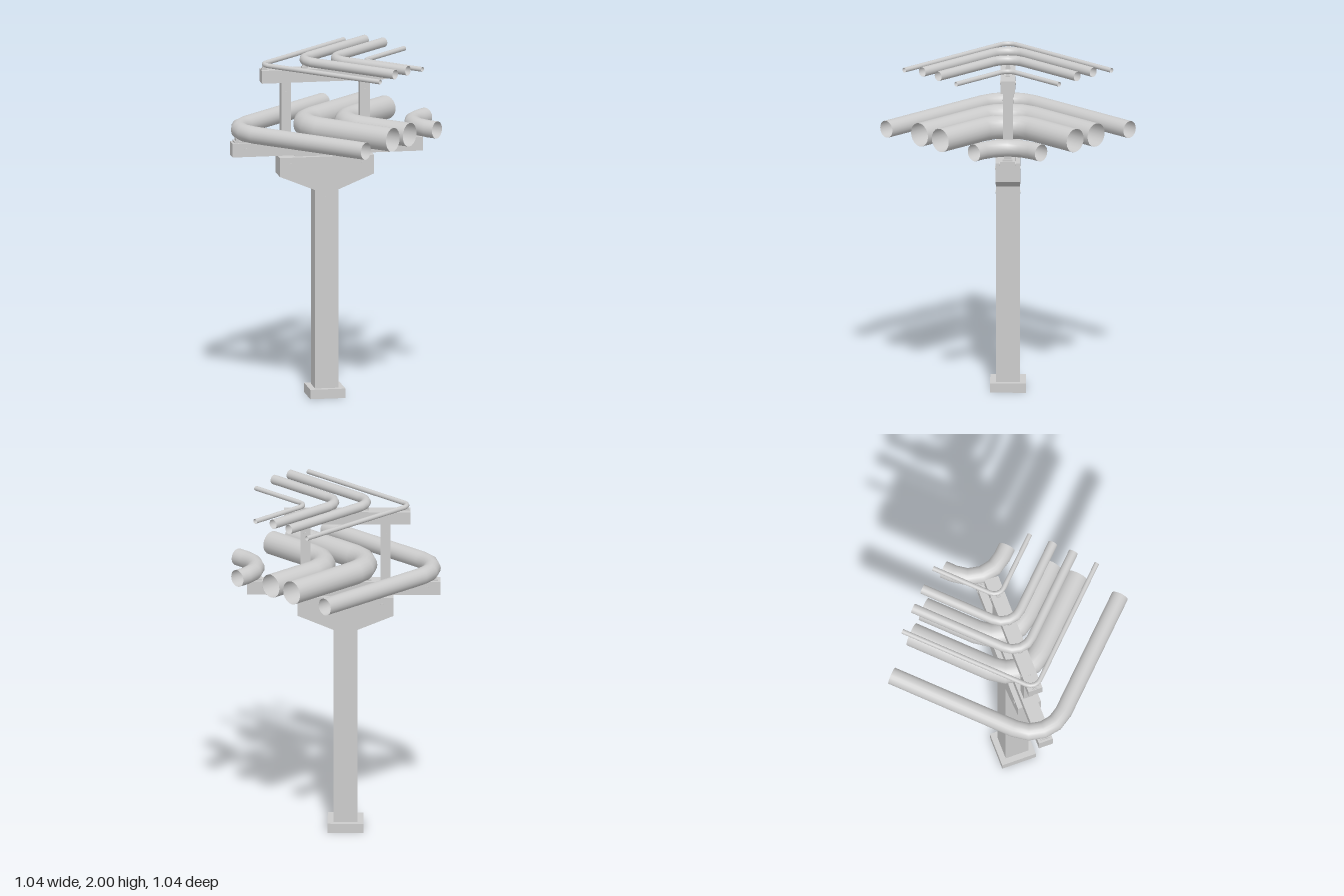
import * as THREE from 'three';

const grey = new THREE.MeshStandardMaterial({ color: 0xcccccc });
const open = new THREE.MeshStandardMaterial({ color: 0xcccccc, side: THREE.DoubleSide });

// Straight run, quarter bend in a few steps, straight run
class BendPath extends THREE.Curve {
  constructor(c, y, r, end, steps = 4) {
    super();
    this.stops = [{ p: new THREE.Vector3(-c, y, -end), t: new THREE.Vector3(0, 0, 1) }];
    for (let i = 0; i <= steps; i++) {
      const a = (i / steps) * Math.PI / 2;
      this.stops.push({
        p: new THREE.Vector3(-c + r - r * Math.cos(a), y, c - r + r * Math.sin(a)),
        t: new THREE.Vector3(Math.sin(a), 0, Math.cos(a)),
      });
    }
    this.stops.push({ p: new THREE.Vector3(end, y, c), t: new THREE.Vector3(1, 0, 0) });
  }
  stop(u) { return this.stops[Math.round(u * (this.stops.length - 1))]; }
  getPoint(u) { return this.stop(u).p.clone(); }
  getPointAt(u) { return this.getPoint(u); }
  getTangentAt(u) { return this.stop(u).t.clone(); }
}

function add(parent, name, geometry, x, y, z, material = grey) {
  const mesh = new THREE.Mesh(geometry, material);
  mesh.name = name;
  mesh.position.set(x, y, z);
  parent.add(mesh);
  return mesh;
}

// Box placed by its bottom height
function block(parent, name, w, h, d, x, y0, z = 0) {
  return add(parent, name, new THREE.BoxGeometry(w, h, d), x, y0 + h / 2, z);
}

// Bolt running through a member of the given depth
function bolt(parent, x, y, depth, upright = false) {
  const m = add(parent, 'bolt', new THREE.CylinderGeometry(0.011, 0.011, depth + 0.006, 10), x, y, 0);
  if (!upright) m.rotation.x = Math.PI / 2;
}

export function createModel() {
  const model = new THREE.Group();
  model.name = 'pipeSupport';

  // Support frame, turned along the diagonal of the pipe bends
  const frame = new THREE.Group();
  frame.name = 'supportFrame';
  frame.position.set(-0.055, 0, 0.055);
  frame.rotation.y = Math.PI / 4;
  model.add(frame);

  block(frame, 'basePlate', 0.205, 0.055, 0.205, 0, 0);
  block(frame, 'post', 0.138, 1.17, 0.138, 0, 0.055);
  bolt(frame, 0, 1.17, 0.138);

  // Flared head on the post
  const head = new THREE.Shape([
    [-0.069, 1.22], [0.069, 1.22], [0.275, 1.305], [0.275, 1.415], [-0.275, 1.415], [-0.275, 1.305],
  ].map(([x, y]) => new THREE.Vector2(x, y)));
  add(frame, 'postHead', new THREE.ExtrudeGeometry(head, { depth: 0.14, bevelEnabled: false }), 0, 0, -0.07);

  // Spacer, cross beams and struts
  block(frame, 'beamSpacer', 0.36, 0.012, 0.08, 0, 1.412);
  block(frame, 'lowerBeam', 1.11, 0.08, 0.085, 0.01, 1.423);
  block(frame, 'upperBeam', 0.728, 0.075, 0.085, -0.01, 1.85);
  for (const side of [-1, 1]) {
    block(frame, 'strut', 0.057, 0.35, 0.057, side * 0.23, 1.502);
    bolt(frame, side * 0.23, 1.785, 0.057);
    bolt(frame, side * 0.21, 1.37, 0.14);
    bolt(frame, side * 0.465, 1.465, 0.085);
    bolt(frame, side * 0.25 - 0.002, 1.89, 0.085);
    bolt(frame, side * 0.26 - 0.01, 1.8875, 0.075, true);
  }

  // Pipes: corner offset, centre height, tube radius, bend radius, end, beam top
  const pipes = [
    ['lowerOuterPipe', 0.468, 1.573, 0.05, 0.21, 0.52, 1.503],
    ['lowerLargePipe', 0.197, 1.593, 0.069, 0.21, 0.52, 1.503],
    ['lowerLargePipe', 0.028, 1.593, 0.069, 0.21, 0.52, 1.503],
    ['lowerCornerPipe', -0.247, 1.573, 0.05, 0.21, 0.52, 1.503],
    ['upperOuterPipe', 0.322, 1.954, 0.014, 0.06, 0.52, 1.925],
    ['upperMiddlePipe', 0.174, 1.972, 0.028, 0.12, 0.52, 1.925],
    ['upperMiddlePipe', 0.045, 1.972, 0.028, 0.12, 0.52, 1.925],
    ['upperInnerPipe', -0.101, 1.954, 0.014, 0.06, 0.52, 1.925],
  ];
  for (const [name, c, y, r, bend, end, top] of pipes) {
    const path = new BendPath(c, y, bend, end);
    add(model, name, new THREE.TubeGeometry(path, path.stops.length - 1, r, 20), 0, 0, 0, open);

    // Saddle under the middle of the bend
    const x = -c * Math.SQRT2 + bend * (Math.SQRT2 - 1) + 0.055 * Math.SQRT2;
    const gap = y - r - top;
    const w = top < 1.6 ? 0.07 : 0.034;
    block(frame, 'saddleFoot', w, gap * 0.5, w * 0.8, x, top);
    block(frame, 'saddlePad', w * 0.7, gap * 0.5 + r * 0.12, w * 0.6, x, top + gap * 0.5);
  }
  return model;
}
